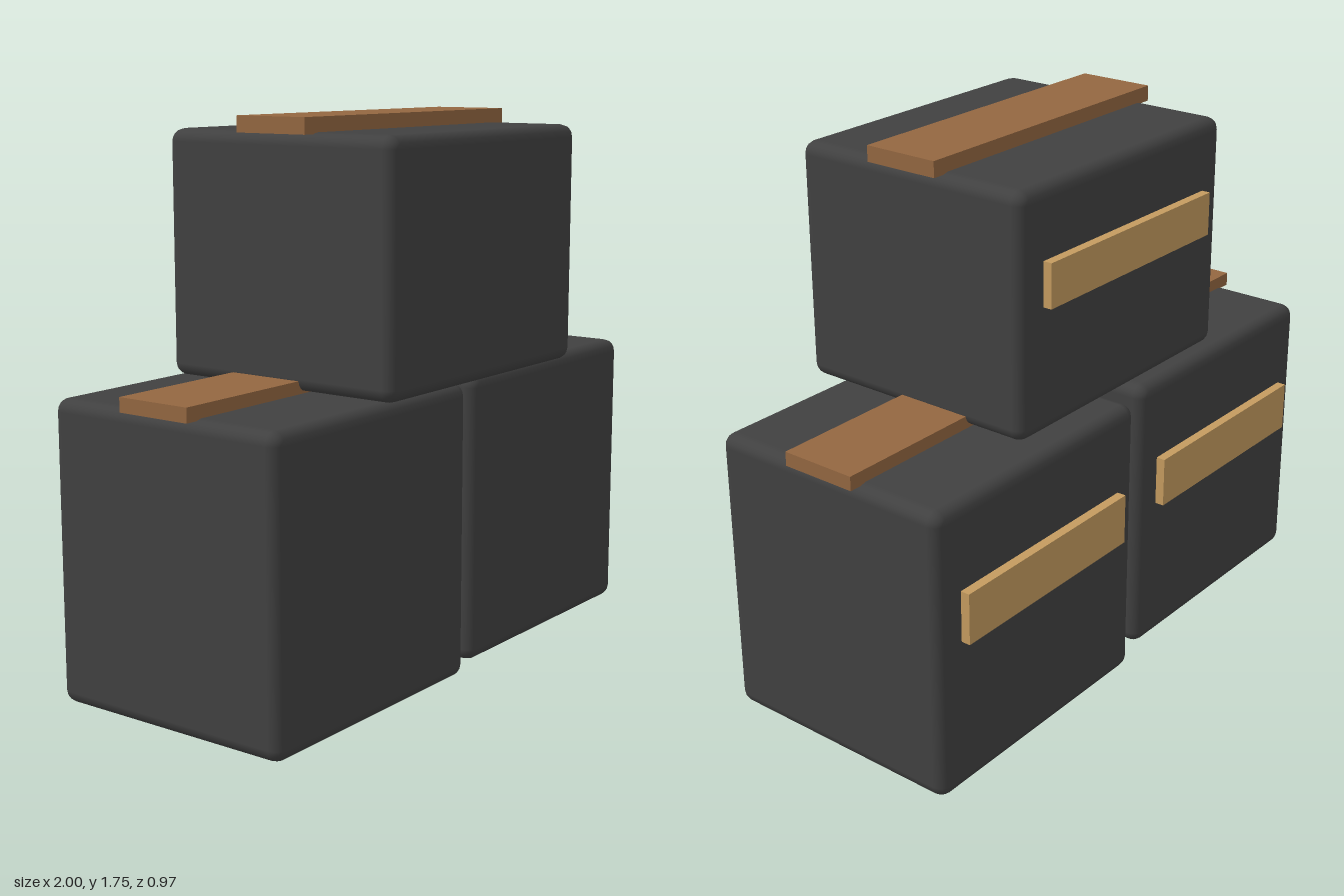
import * as THREE from 'three';
import { RoundedBoxGeometry } from 'three/addons/geometries/RoundedBoxGeometry.js';

const material = (name, color) => new THREE.MeshStandardMaterial({ name, color });

export function createModel() {
  const charcoal = material('charcoal', 0x414141);
  const brown = material('brown', 0x946741);
  const tan = material('tan', 0xc49b5f);

  // Adds a mesh spanning the given [min, max] ranges
  function addBlock(parent, name, mat, [x0, x1], [y0, y1], [z0, z1], radius = 0) {
    const size = [x1 - x0, y1 - y0, z1 - z0];
    const geometry = radius
      ? new RoundedBoxGeometry(...size, 2, radius)
      : new THREE.BoxGeometry(...size);
    const mesh = new THREE.Mesh(geometry, mat);
    mesh.name = name;
    mesh.position.set((x0 + x1) / 2, (y0 + y1) / 2, (z0 + z1) / 2);
    parent.add(mesh);
  }

  // Each crate has a rounded body, a strap across the top and a label on the back
  const crates = [
    {
      name: 'rightCrate',
      body: [[-0.98, -0.05], [0, 0.94], [-0.415, 0.435]],
      strap: [[-1, -0.03], [0.935, 0.98], [-0.12, 0.135]],
      label: [[-0.89, -0.14], [0.505, 0.67], [-0.445, -0.405]],
    },
    {
      name: 'leftCrate',
      body: [[0.045, 0.98], [0, 0.94], [-0.457, 0.393]],
      strap: [[0.03, 1], [0.935, 0.98], [-0.16, 0.093]],
      label: [[0.135, 0.885], [0.505, 0.67], [-0.487, -0.447]],
    },
    {
      name: 'topCrate',
      body: [[-0.51, 0.505], [0.945, 1.71], [-0.373, 0.478]],
      strap: [[-0.53, 0.525], [1.705, 1.755], [-0.075, 0.18]],
      label: [[-0.41, 0.405], [1.35, 1.49], [-0.402, -0.362]],
    },
  ];

  const model = new THREE.Group();
  model.name = 'crateStack';
  for (const { name, body, strap, label } of crates) {
    const crate = new THREE.Group();
    crate.name = name;
    addBlock(crate, 'body', charcoal, ...body, 0.04);
    addBlock(crate, 'strap', brown, ...strap);
    addBlock(crate, 'label', tan, ...label);
    model.add(crate);
  }
  return model;
}
